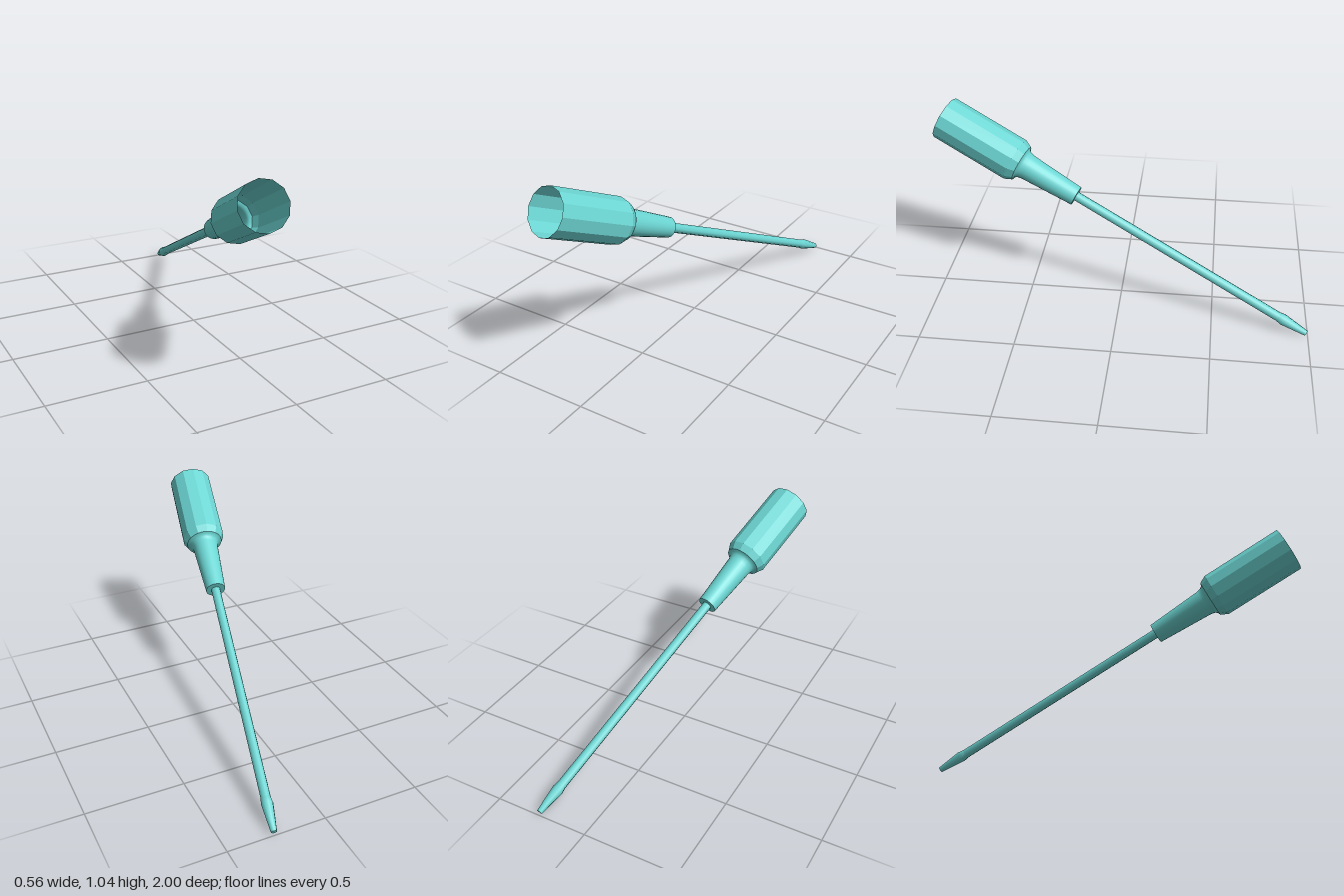
import * as THREE from 'three';

export function createModel() {
  const model = new THREE.Group();
  model.name = 'screwdriver';

  // Profiles are [radius, distance from the handle's butt], spun around +y
  const addTurned = (name, profile, sides, flatShading = false) => {
    const points = profile.map(([r, t]) => new THREE.Vector2(r, t));
    const material = new THREE.MeshStandardMaterial({
      color: 0x6cd6d3, flatShading, side: THREE.DoubleSide,
    });
    const mesh = new THREE.Mesh(new THREE.LatheGeometry(points, sides), material);
    mesh.name = name;
    model.add(mesh);
  };

  // Faceted grip, open at the butt, with a bevelled front rim
  addTurned('grip', [[0.116, 0], [0.116, 0.428], [0.097, 0.467]], 12, true);

  // Smooth neck flaring out into the grip, closed by a flat collar face
  addTurned('neck', [
    [0.097, 0.467], [0.082, 0.472], [0.073, 0.484], [0.068, 0.505], [0.052, 0.8],
  ], 24);
  addTurned('neckFace', [[0.052, 0.8], [0.02, 0.8]], 24);

  // Slim shank
  addTurned('shank', [[0.025, 0.79], [0.025, 2.05]], 8);

  // Tapered tip, slightly wider than the shank where it begins
  addTurned('tip', [[0.025, 2.02], [0.03, 2.05], [0.015, 2.188]], 8);
  addTurned('tipFace', [[0.015, 2.188], [0, 2.188]], 8);

  // Lean the tool from the raised butt down to the tip on the ground
  const butt = new THREE.Vector3(-0.165, 0.935, 0.9465);
  const tip = new THREE.Vector3(0.264, 0.0136, -0.993);
  const axis = tip.clone().sub(butt).normalize();
  const up = new THREE.Vector3(0, -axis.z, axis.y).normalize();
  const side = new THREE.Vector3().crossVectors(axis, up);
  model.quaternion.setFromRotationMatrix(new THREE.Matrix4().makeBasis(side, axis, up));
  model.position.copy(butt);

  const root = new THREE.Group();
  root.add(model);
  return root;
}
